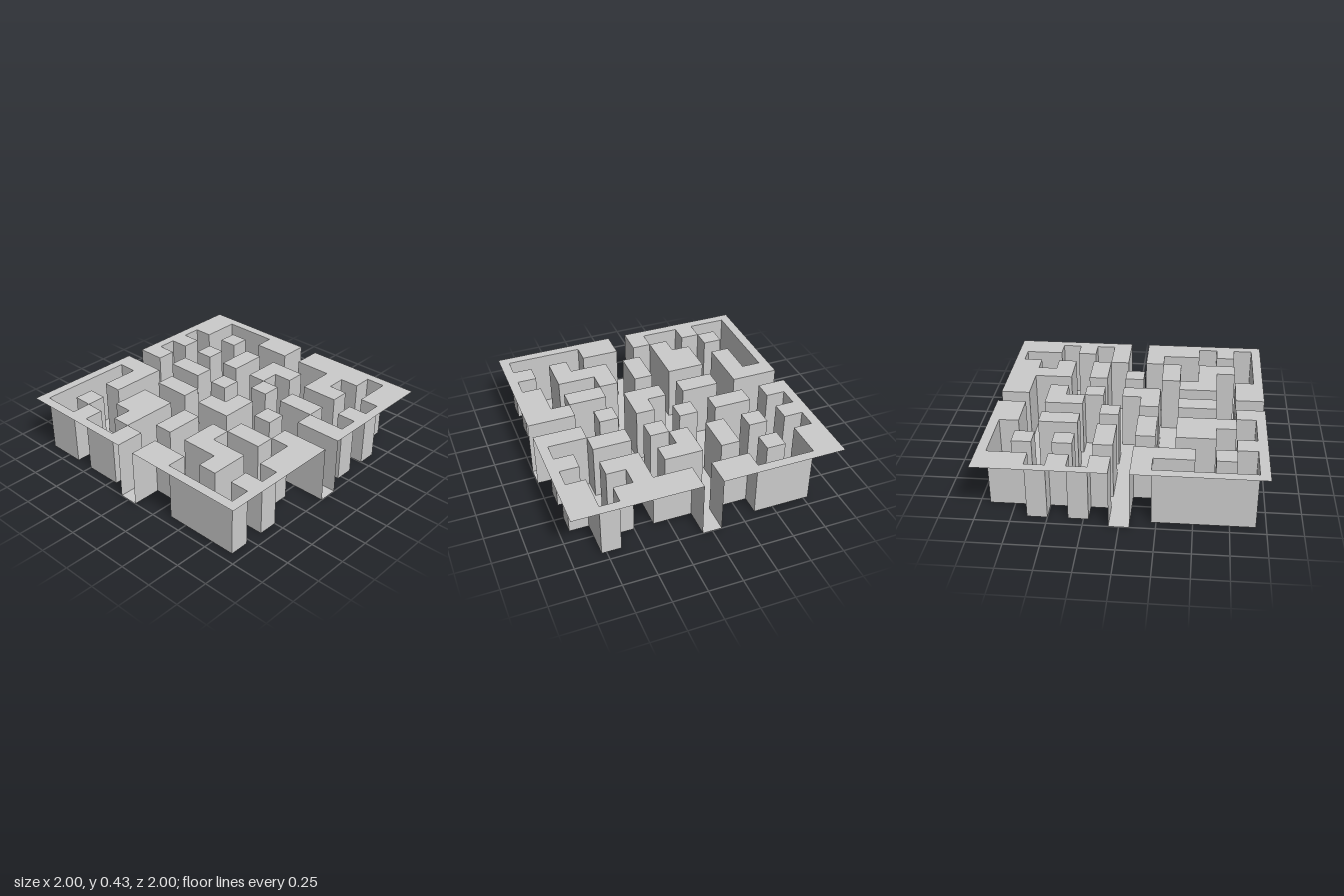
import * as THREE from 'three';
import { mergeGeometries } from 'three/addons/utils/BufferGeometryUtils.js';

// Plan of the maze from back to front: # is a raised block, . is sunken floor
const PLAN = [
  '#######.#######',
  '##...##.####.##',
  '##.#......#..##',
  '#....#.##.##..#',
  '##.#.#.#.....##',
  '#.......#.##..#',
  '##.##.#.....###',
  '........#.#....',
  '###.##.##...###',
  '#.#.......##.##',
  '#.#.##.#.#...##',
  '#...##.#.###..#',
  '#.#..#.....#.##',
  '#..#..#.##....#',
  '#######.#######',
];
const N = PLAN.length;
const H = 6 / 14;

// Grid line position; the outermost cells are half as wide
const line = (k) => THREE.MathUtils.clamp((2 * k - N) / 14, -1, 1);
const raised = (row, col) => PLAN[row][col] === '#';

// Split 0..N-1 into runs [start, end, value] of equal non-null values
function runs(valueAt) {
  const out = [];
  for (let i = 0; i < N; i++) {
    const v = valueAt(i);
    const last = out[out.length - 1];
    if (last && last[1] === i && last[2] === v) last[1] = i + 1;
    else out.push([i, i + 1, v]);
  }
  return out.filter((r) => r[2] !== null);
}

// Horizontal slab of one row, facing up
function slab(row, a, b, y) {
  const x0 = line(a), x1 = line(b), z0 = line(row), z1 = line(row + 1);
  return new THREE.PlaneGeometry(x1 - x0, z1 - z0)
    .rotateX(-Math.PI / 2)
    .translate((x0 + x1) / 2, y, (z0 + z1) / 2);
}

// Upright wall along a grid line, turned to face the floor side
function wall(k, a, b, alongX, positive) {
  const p0 = line(a), p1 = line(b), mid = (p0 + p1) / 2;
  const g = new THREE.PlaneGeometry(p1 - p0, H);
  if (!positive) g.rotateY(Math.PI);
  if (!alongX) g.rotateY(Math.PI / 2);
  return alongX ? g.translate(mid, H / 2, line(k)) : g.translate(line(k), H / 2, mid);
}

export function createModel() {
  const group = new THREE.Group();
  group.name = 'maze';
  const material = new THREE.MeshStandardMaterial({ color: 0xcccccc, side: THREE.DoubleSide });
  const tops = [], floors = [], walls = [];

  // Block tops and corridor floors
  for (let r = 0; r < N; r++) {
    for (const [a, b, up] of runs((c) => raised(r, c))) {
      (up ? tops : floors).push(slab(r, a, b, up ? H : 0));
    }
  }

  // Walls wherever a block meets the floor; the outer rim stays open
  const step = (before, after) => (before === after ? null : before);
  for (let k = 1; k < N; k++) {
    for (const [a, b, pos] of runs((c) => step(raised(k - 1, c), raised(k, c)))) {
      walls.push(wall(k, a, b, true, pos));
    }
    for (const [a, b, pos] of runs((r) => step(raised(r, k - 1), raised(r, k)))) {
      walls.push(wall(k, a, b, false, pos));
    }
  }

  for (const [name, parts] of Object.entries({ blockTops: tops, corridorFloor: floors, mazeWalls: walls })) {
    const mesh = new THREE.Mesh(mergeGeometries(parts), material);
    mesh.name = name;
    group.add(mesh);
  }
  return group;
}
